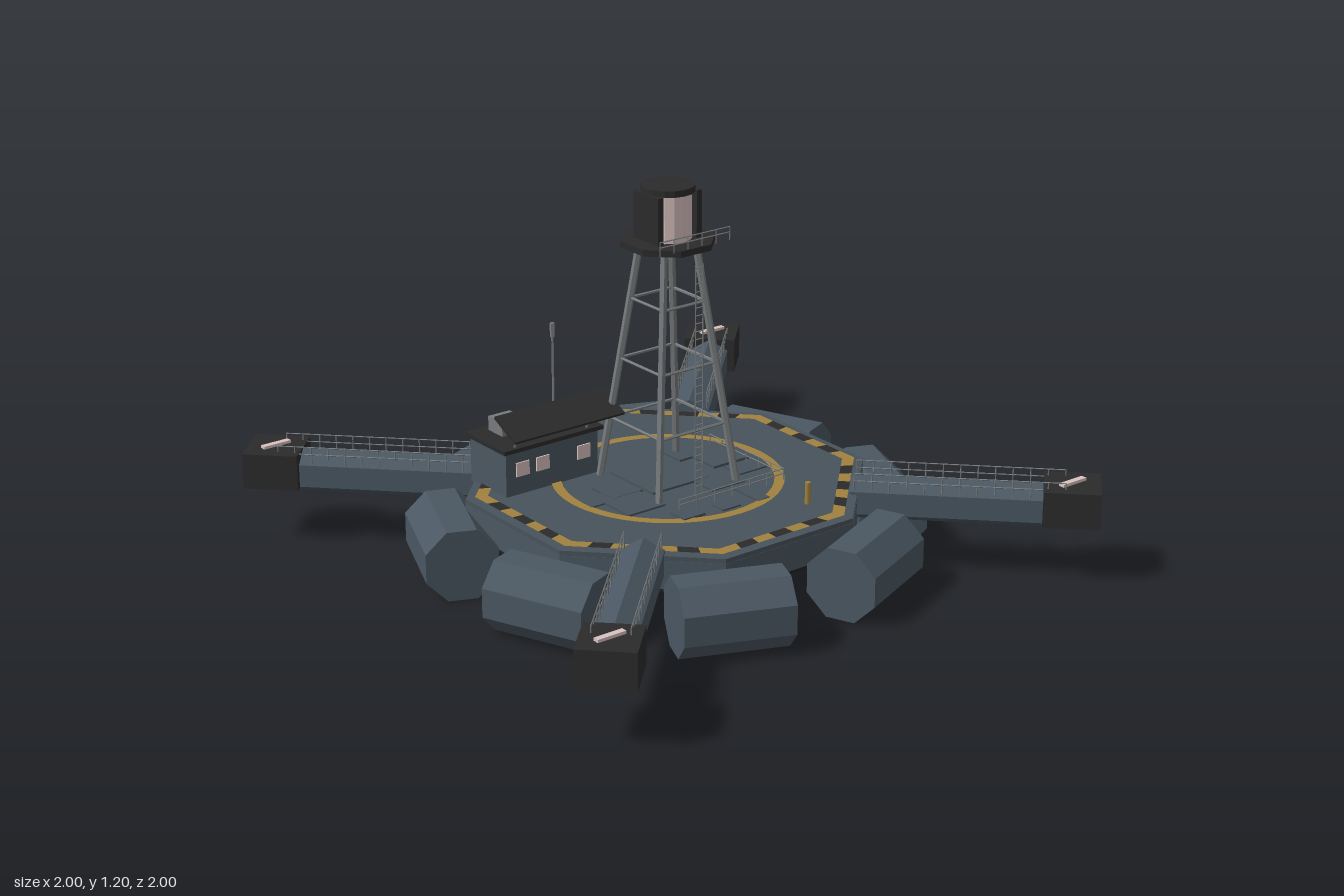
import * as THREE from 'three';

const mat = (name, color, side = THREE.FrontSide) => {
  const m = new THREE.MeshStandardMaterial({ color, flatShading: true, side });
  m.name = name;
  return m;
};

export function createModel() {
  const slate = mat('slate hull', 0x4a5762);
  const deckGrey = mat('deck grey', 0x48535b);
  const black = mat('charcoal', 0x2c2b2b);
  const under = mat('underside black', 0x222222);
  const yellow = mat('hazard yellow', 0xa0813e);
  const steel = mat('steel', 0x777b7d);
  const pale = mat('pale glass', 0xd9c2bf);

  const root = new THREE.Group();
  root.name = 'floatingPlatform';
  const up = new THREE.Vector3(0, 1, 0);

  const add = (parent, name, geo, m, x = 0, y = 0, z = 0) => {
    const mesh = new THREE.Mesh(geo, m);
    mesh.name = name;
    mesh.position.set(x, y, z);
    parent.add(mesh);
    return mesh;
  };
  // Box given by its lower and upper corners
  const box = (parent, name, m, x0, x1, y0, y1, z0, z1) =>
    add(parent, name, new THREE.BoxGeometry(x1 - x0, y1 - y0, z1 - z0), m,
      (x0 + x1) / 2, (y0 + y1) / 2, (z0 + z1) / 2);
  // Prism with flats facing the axes, sized by its apothem
  const prism = (apothem, h, n = 8) =>
    new THREE.CylinderGeometry(apothem / Math.cos(Math.PI / n), apothem / Math.cos(Math.PI / n), h, n, 1, false, Math.PI / n);
  const rod = (parent, name, a, b, r, m = steel, sides = 5) => {
    const p = new THREE.Vector3(...a), q = new THREE.Vector3(...b);
    const d = q.clone().sub(p);
    const mesh = add(parent, name, new THREE.CylinderGeometry(r, r, d.length(), sides), m);
    mesh.position.copy(p).add(q).multiplyScalar(0.5);
    mesh.quaternion.setFromUnitVectors(up, d.normalize());
    return mesh;
  };
  // Straight railing with posts and two bars
  const railing = (parent, name, a, b, h, posts, r = 0.002) => {
    const g = new THREE.Group();
    g.name = name;
    parent.add(g);
    for (let i = 0; i <= posts; i++) {
      const t = i / posts, x = a[0] + (b[0] - a[0]) * t, z = a[2] + (b[2] - a[2]) * t;
      rod(g, 'railPost', [x, a[1], z], [x, a[1] + h, z], r, steel, 4);
    }
    for (const k of [0.6, 1]) rod(g, 'railBar', [a[0], a[1] + h * k, a[2]], [b[0], b[1] + h * k, b[2]], r, steel, 4);
  };

  // Octagonal deck
  add(root, 'deckHull', prism(0.59, 0.09), slate, 0, 0.195);
  add(root, 'deckTop', prism(0.589, 0.016), deckGrey, 0, 0.247);
  add(root, 'deckUnderside', prism(0.585, 0.012), under, 0, 0.144);
  const ring = new THREE.RingGeometry(0.33, 0.362, 48);
  ring.rotateX(-Math.PI / 2);
  add(root, 'landingRing', ring, yellow, 0, 0.259);

  // Hazard border, seven mitred blocks on each side
  const outer = 0.562, inner = 0.525, half = Math.tan(Math.PI / 8);
  for (let s = 0; s < 8; s++) {
    const side = new THREE.Group();
    side.name = 'hazardBorder';
    side.rotation.y = s * Math.PI / 4;
    root.add(side);
    for (let i = 0; i < 7; i++) {
      const a = half * (i * 2 / 7 - 1), b = half * ((i + 1) * 2 / 7 - 1);
      const shape = new THREE.Shape([[a * inner, inner], [b * inner, inner], [b * outer, outer], [a * outer, outer]]
        .map(p => new THREE.Vector2(...p)));
      const geo = new THREE.ShapeGeometry(shape);
      geo.rotateX(-Math.PI / 2);
      add(side, 'hazardBlock', geo, i % 2 ? black : yellow, 0, 0.259);
    }
  }

  // Floats around the rim
  for (let i = 0; i < 8; i++) {
    const g = new THREE.Group();
    g.name = 'float';
    g.rotation.y = (i + 0.5) * Math.PI / 4;
    root.add(g);
    const geo = prism(0.112, 0.338);
    geo.rotateZ(Math.PI / 2);
    add(g, 'floatTank', geo, slate, 0, 0.112, 0.684);
  }

  // Mooring arms with railings, end blocks and lamps
  for (let i = 0; i < 4; i++) {
    const g = new THREE.Group();
    g.name = 'mooringArm';
    g.rotation.y = Math.PI / 4 + i * Math.PI / 2;
    root.add(g);
    const geo = new THREE.CylinderGeometry(0.0725, 0.0725, 0.59, 6, 1, false, Math.PI / 6);
    geo.rotateZ(Math.PI / 2);
    add(g, 'armBeam', geo, slate, 0.861, 0.2275);
    box(g, 'endBlock', black, 1.153, 1.327, 0.187, 0.302, -0.087, 0.087);
    for (const z of [-0.055, 0.055]) railing(g, 'armRailing', [0.58, 0.262, z], [1.22, 0.262, z], 0.06, 12);
    const sx = i % 2 ? 1 : -1, sz = i < 2 ? 1 : -1;
    box(root, 'endLamp', pale, sx * 0.877 - 0.048, sx * 0.877 + 0.048, 0.302, 0.311, sz * 0.877 - 0.01, sz * 0.877 + 0.01);
  }

  // Deck hatches inside the ring: x0, x1, z0, z1
  [[-0.33, -0.24, -0.02, 0.05], [-0.28, -0.14, 0.04, 0.17], [-0.24, -0.13, -0.07, 0.04],
    [-0.17, -0.09, 0.23, 0.3], [-0.03, 0.04, 0.26, 0.31], [0.1, 0.145, 0.19, 0.32],
    [0.11, 0.25, -0.19, -0.08], [0.16, 0.3, -0.1, 0.03], [0.19, 0.3, 0.04, 0.12],
    [0.04, 0.17, 0.07, 0.17], [-0.12, 0.1, -0.14, 0.08]]
    .forEach(([a, b, c, d], i) => box(root, 'deckHatch', deckGrey, a, b, 0.25, 0.26 + 0.001 * (i % 4), c, d));
  railing(root, 'deckRailing', [-0.14, 0.255, 0.235], [0.27, 0.255, 0.235], 0.04, 6);
  railing(root, 'deckRailing', [0.27, 0.255, 0.235], [0.27, 0.255, -0.13], 0.04, 6);
  rod(root, 'bollard', [0.21, 0.25, 0.42], [0.21, 0.325, 0.42], 0.009, yellow, 8);

  // Tower legs and braces
  const tower = new THREE.Group();
  tower.name = 'tower';
  root.add(tower);
  const spread = y => 0.15 - 0.09 * (y - 0.255) / 0.765;
  for (let i = 0; i < 4; i++) {
    const g = new THREE.Group();
    g.name = 'towerSide';
    g.rotation.y = i * Math.PI / 2;
    tower.add(g);
    const p = y => [spread(y), y, spread(y)];
    rod(g, 'towerLeg', p(0.255), p(1.02), 0.012, steel, 6);
    for (const y of [0.45, 0.645, 0.84]) rod(g, 'towerBrace', [-spread(y), y, spread(y)], p(y), 0.005);
  }
  // Ladder
  for (const x of [-0.014, 0.014]) rod(tower, 'ladderRail', [x, 0.255, 0.153], [x, 0.99, 0.153], 0.0025, steel, 4);
  for (let y = 0.28; y < 0.99; y += 0.025) rod(tower, 'ladderRung', [-0.014, y, 0.153], [0.014, y, 0.153], 0.002, steel, 4);

  // Lantern platform and lantern
  add(tower, 'lanternPlatform', prism(0.137, 0.02), black, 0, 1.027);
  railing(tower, 'platformRailing', [-0.132, 1.035, 0.132], [0.132, 1.035, 0.132], 0.042, 5);
  add(tower, 'lanternGlass', new THREE.CylinderGeometry(0.073, 0.073, 0.15, 16), pale, 0, 1.11);
  for (const s of [-1, 1]) add(tower, 'lanternShutter', new THREE.BoxGeometry(0.02, 0.15, 0.12), black, s * 0.073, 1.11);
  add(tower, 'lanternCap', new THREE.CylinderGeometry(0.083, 0.083, 0.02, 16), black, 0, 1.193);

  // Cabin with windows and roof gear
  const cabin = new THREE.Group();
  cabin.name = 'cabin';
  root.add(cabin);
  box(cabin, 'cabinWalls', slate, -0.485, -0.14, 0.25, 0.4, -0.365, -0.175);
  box(cabin, 'cabinRoof', black, -0.497, -0.125, 0.398, 0.411, -0.378, -0.163);
  for (const x of [-0.425, -0.35, -0.195]) box(cabin, 'cabinWindow', pale, x - 0.024, x + 0.024, 0.315, 0.36, -0.175, -0.17);
  box(cabin, 'roofVent', steel, -0.43, -0.35, 0.41, 0.457, -0.347, -0.272);
  rod(cabin, 'antennaMast', [-0.197, 0.41, -0.328], [-0.197, 0.68, -0.328], 0.004);
  rod(cabin, 'antennaTip', [-0.197, 0.67, -0.328], [-0.197, 0.715, -0.328], 0.008, steel, 6);

  // Tilted panel on struts
  const panel = add(cabin, 'solarPanel', new THREE.BoxGeometry(0.41, 0.009, 0.118), black, -0.313, 0.497, -0.13);
  panel.rotation.x = 0.45;
  for (const x of [-0.45, -0.18]) rod(cabin, 'panelStrut', [x, 0.405, -0.18], [x, 0.5, -0.14], 0.004);
  return root;
}
